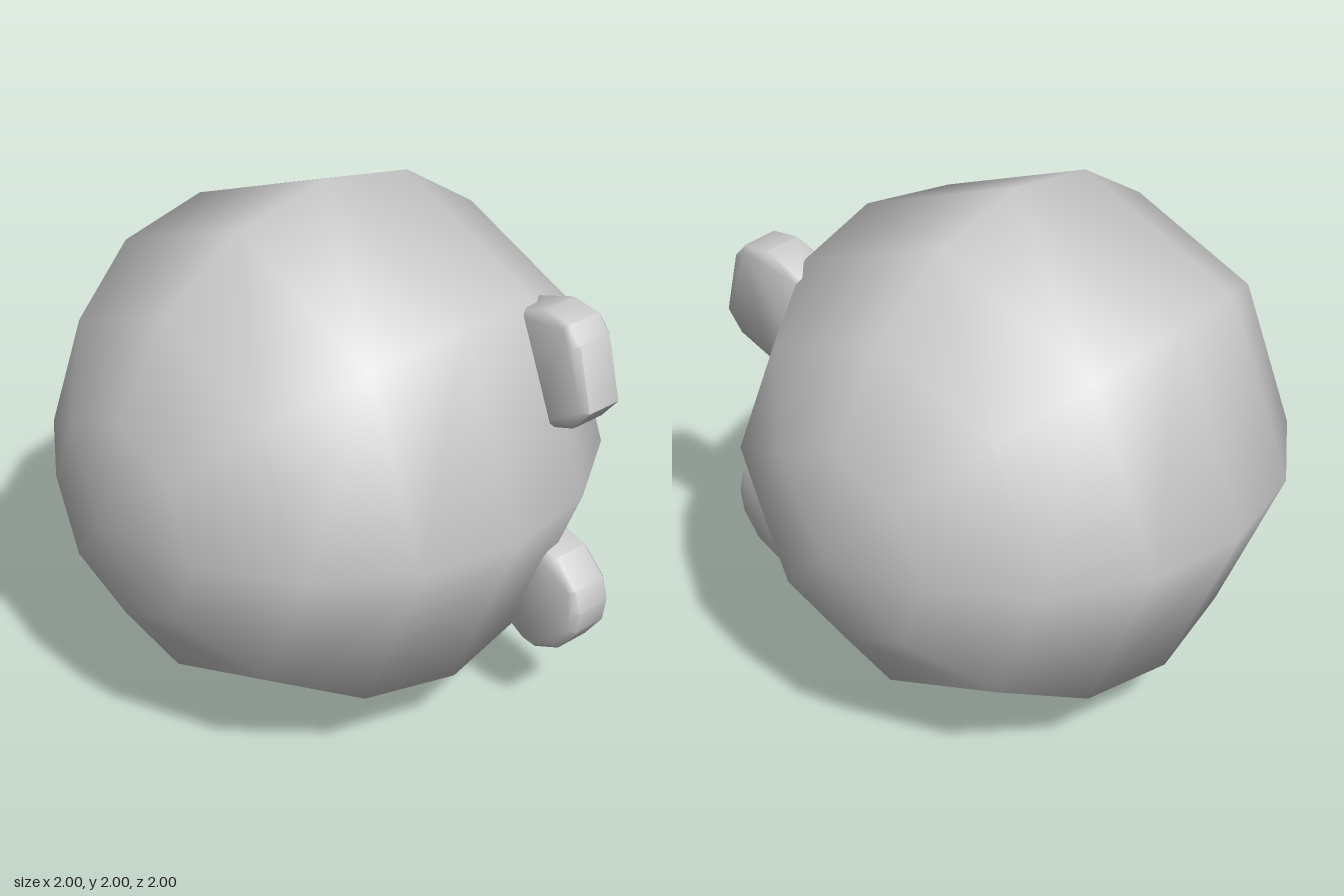
import * as THREE from 'three';
import { toCreasedNormals } from 'three/addons/utils/BufferGeometryUtils.js';

const material = new THREE.MeshStandardMaterial({ color: 0xcccccc });

// Rounded lug: a [z, y] outline extruded along x, with narrow chamfers
function createLug(name, outline) {
  const shape = new THREE.Shape(outline.map(([z, y]) => new THREE.Vector2(-z, y)));
  const bevel = 0.02;
  const geometry = new THREE.ExtrudeGeometry(shape, {
    depth: 0.18 - 2 * bevel,
    bevelSize: bevel,
    bevelThickness: bevel,
    bevelOffset: -bevel,
    bevelSegments: 1,
  });
  geometry.rotateY(Math.PI / 2);
  geometry.translate(0.30 + bevel, 0, 0);
  const mesh = new THREE.Mesh(toCreasedNormals(geometry, 0.82), material);
  mesh.name = name;
  return mesh;
}

export function createModel() {
  const group = new THREE.Group();
  group.name = 'ballWithLugs';

  // Low-poly smooth ball with its poles on the x axis
  const ball = new THREE.Mesh(new THREE.SphereGeometry(1, 8, 8).rotateZ(Math.PI / 2), material);
  ball.name = 'ball';
  ball.position.y = 1;
  group.add(ball);

  // Two lugs half sunk into the front; their inner ends lie inside the ball
  group.add(createLug('upperLug', [
    [0.60, 1.63], [0.755, 1.685], [0.87, 1.67], [0.925, 1.61], [0.985, 1.375],
    [0.915, 1.29], [0.765, 1.235], [0.68, 1.25], [0.61, 1.33], [0.56, 1.54],
  ]));
  group.add(createLug('lowerLug', [
    [0.77, 0.77], [0.877, 0.743], [0.975, 0.652], [1.0, 0.567], [0.985, 0.476],
    [0.91, 0.374], [0.797, 0.32], [0.745, 0.326], [0.61, 0.40], [0.56, 0.52],
    [0.58, 0.65], [0.67, 0.75],
  ]));
  return group;
}
